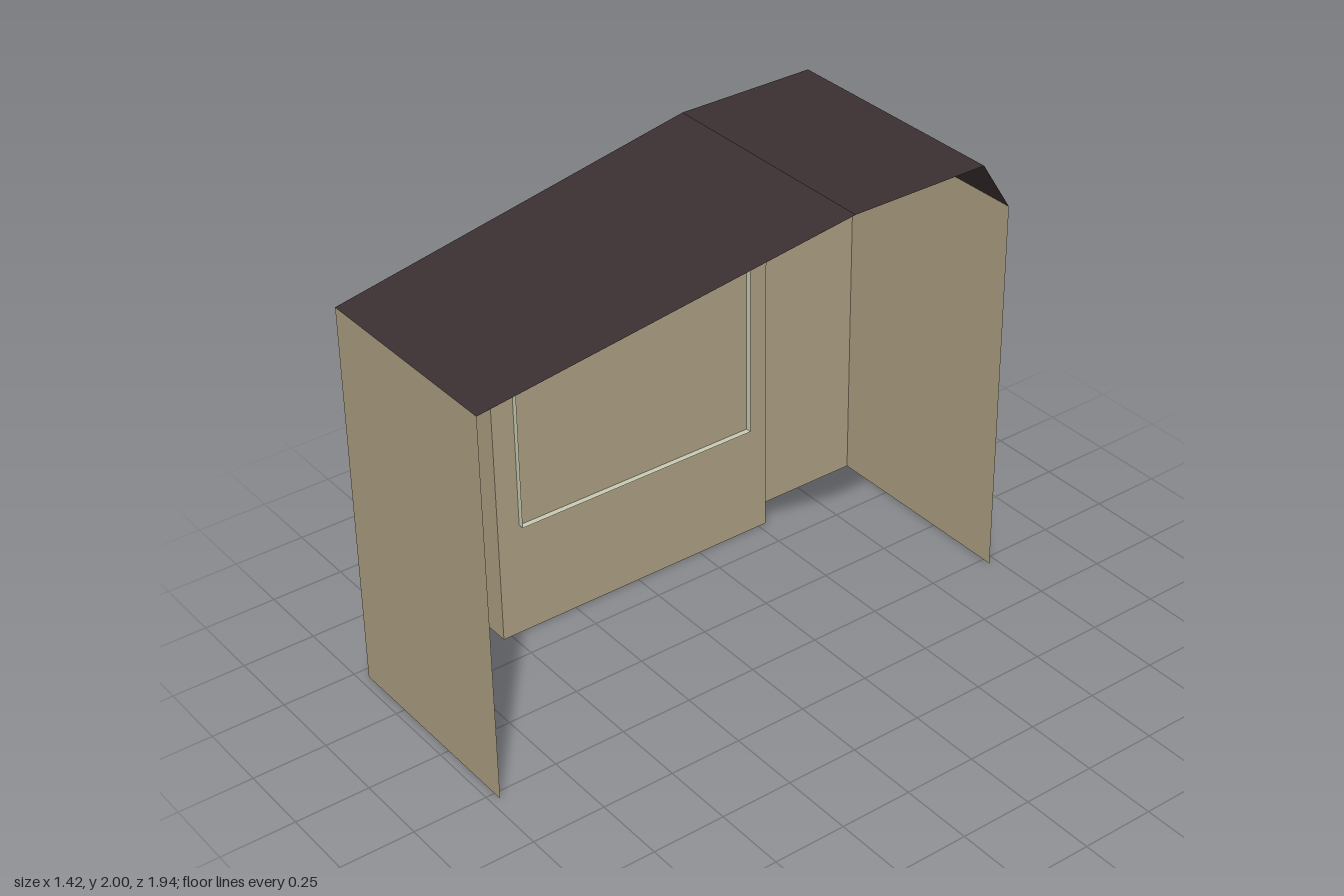
import * as THREE from 'three';

const std = (name, color) => {
  const m = new THREE.MeshStandardMaterial({ color, side: THREE.DoubleSide, flatShading: true });
  m.name = name;
  return m;
};

export function createModel() {
  const group = new THREE.Group();
  group.name = 'houseSection';
  const wallMat = std('plaster', 0xa99b7f);
  const roofMat = std('roofing', 0x3a3031);
  const frameMat = std('windowFrame', 0xc6c8b2);
  const glassMat = std('windowGlass', 0x36444f);

  const X0 = -0.71, X1 = 0.03;            // outer wall and open edge
  const R0 = -0.03, R1 = 0.71;            // ends of the flat roof top
  const ZW = 0.97, ZR = 0.22;             // half widths at the eaves and the top
  const EAVE = 1.34, TOP = 2;
  const ZN = 0.53, YN = 1.07, XN = -0.61; // recess half width, height, depth
  const ZF = 0.45, F0 = 0.41, F1 = 1.02;  // window bounds

  const add = (name, geometry, material) => {
    const mesh = new THREE.Mesh(geometry, material);
    mesh.name = name;
    group.add(mesh);
    return mesh;
  };

  // Flat four-cornered face, corners counter-clockwise from outside
  const quad = (name, material, ...corners) => {
    const g = new THREE.BufferGeometry();
    g.setAttribute('position', new THREE.Float32BufferAttribute(corners.flat(), 3));
    g.setIndex([0, 1, 2, 0, 2, 3]);
    g.computeVertexNormals();
    return add(name, g, material);
  };

  const polygon = (points) => new THREE.Shape(points.map(([a, b]) => new THREE.Vector2(a, b)));
  const rect = (a0, a1, b0, b1) => [[a0, b0], [a1, b0], [a1, b1], [a0, b1]];

  // Outer wall with a recess open to the ground
  const wall = polygon([[-ZW, 0], [-ZN, 0], [-ZN, YN], [ZN, YN], [ZN, 0], [ZW, 0], [ZW, EAVE], [-ZW, EAVE]]);
  add('outerWall', new THREE.ShapeGeometry(wall).rotateY(-Math.PI / 2), wallMat).position.x = X0;

  // Recess: back panel, soffit, and two reveals
  quad('recessPanel', wallMat, [XN, 0, -ZN], [XN, 0, ZN], [XN, YN, ZN], [XN, YN, -ZN]);
  quad('recessSoffit', wallMat, [X0, YN, -ZN], [XN, YN, -ZN], [XN, YN, ZN], [X0, YN, ZN]);

  for (const s of [1, -1]) {
    const side = s > 0 ? 'front' : 'back';
    const order = (pts) => (s > 0 ? pts : pts.reverse());
    quad(side + 'RecessReveal', wallMat,
      ...order([[XN, 0, s * ZN], [X0, 0, s * ZN], [X0, YN, s * ZN], [XN, YN, s * ZN]]));
    // Side wall and the roof slope above it
    quad(side + 'Wall', wallMat,
      ...order([[X0, 0, s * ZW], [X1, 0, s * ZW], [X1, EAVE, s * ZW], [X0, EAVE, s * ZW]]));
    quad(side + 'RoofSlope', roofMat,
      ...order([[X0, EAVE, s * ZW], [X1, EAVE, s * ZW], [R1, TOP, s * ZR], [R0, TOP, s * ZR]]));
  }

  // Hip slope over the outer wall and flat roof top
  quad('hipSlope', roofMat, [X0, EAVE, -ZW], [X0, EAVE, ZW], [R0, TOP, ZR], [R0, TOP, -ZR]);
  quad('roofTop', roofMat, [R0, TOP, ZR], [R1, TOP, ZR], [R1, TOP, -ZR], [R0, TOP, -ZR]);

  // Window frame with two openings
  const frame = polygon(rect(-ZF, ZF, F0, F1));
  const border = 0.055, mullion = 0.022;
  for (const [a, b] of [[-ZF + border, -mullion], [mullion, ZF - border]]) {
    frame.holes.push(polygon(rect(a, b, F0 + border, F1 - border)));
  }
  const frameGeo = new THREE.ExtrudeGeometry(frame, { depth: 0.083, bevelEnabled: false });
  add('windowFrame', frameGeo.rotateY(-Math.PI / 2), frameMat).position.x = XN - 0.002;

  // Glass panes set slightly behind the frame face
  for (const s of [1, -1]) {
    const width = ZF - border - mullion;
    const pane = new THREE.PlaneGeometry(width, F1 - F0 - 2 * border).rotateY(-Math.PI / 2);
    add(s > 0 ? 'frontPane' : 'backPane', pane, glassMat)
      .position.set(-0.675, (F0 + F1) / 2, s * (mullion + width / 2));
  }

  // Thin open rim of the frame on the inner side of the panel
  const corners = rect(-ZF, ZF, F0, F1);
  corners.forEach(([z, y], i) => {
    const [z2, y2] = corners[(i + 1) % 4];
    quad('innerRim' + (i + 1), frameMat, [XN, y, z], [XN, y2, z2], [XN + 0.02, y2, z2], [XN + 0.02, y, z]);
  });

  return group;
}
